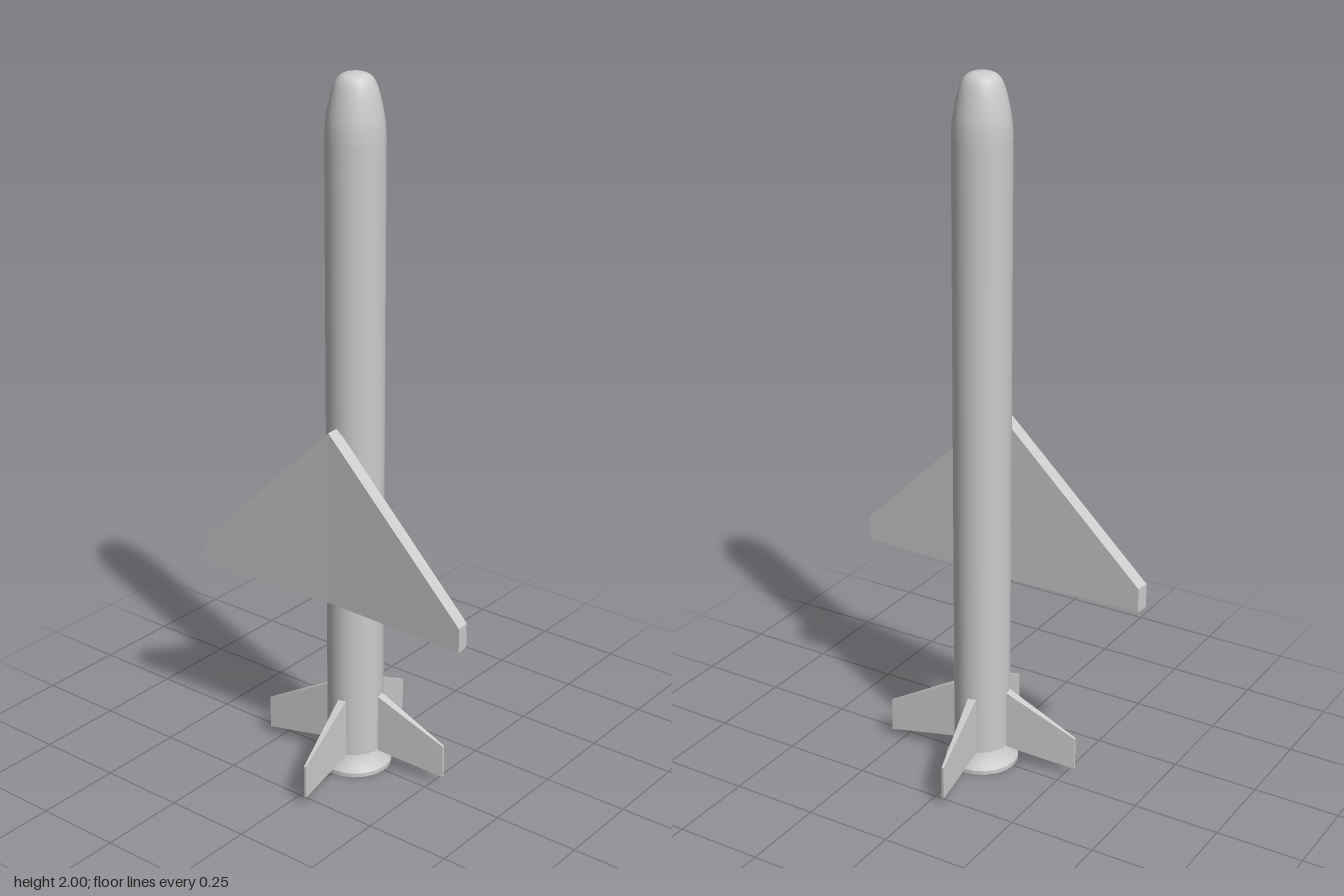
import * as THREE from 'three';

const material = new THREE.MeshStandardMaterial({ color: 0xcccccc });

function addMesh(parent, name, geometry) {
  const mesh = new THREE.Mesh(geometry, material);
  mesh.name = name;
  parent.add(mesh);
  return mesh;
}

// Lathe from [radius, height] pairs, listed bottom to top
function lathe(points, segments) {
  return new THREE.LatheGeometry(points.map(([r, y]) => new THREE.Vector2(r, y)), segments);
}

// Moves every vertex of a 2-unit box by a rule, with flat faces
function shapedBox(xSegments, rule) {
  const geometry = new THREE.BoxGeometry(2, 2, 2, xSegments, 1, 1).toNonIndexed();
  const pos = geometry.attributes.position;
  for (let i = 0; i < pos.count; i++) {
    pos.setXYZ(i, ...rule(pos.getX(i), pos.getY(i), pos.getZ(i)));
  }
  geometry.computeVertexNormals();
  return geometry;
}

export function createModel() {
  const model = new THREE.Group();
  model.name = 'missile';

  // Cylindrical body
  const body = new THREE.CylinderGeometry(0.08, 0.08, 1.81, 48, 1, true);
  addMesh(model, 'body', body).position.y = 0.925;

  // Blunt rounded nose
  const nose = new THREE.SplineCurve([
    [0.08, 1.83], [0.077, 1.875], [0.068, 1.925], [0.056, 1.967],
    [0.043, 1.988], [0.024, 1.998], [0, 2],
  ].map(([r, y]) => new THREE.Vector2(r, y)));
  addMesh(model, 'nose', new THREE.LatheGeometry(nose.getPoints(24), 48));

  // Flared tail with a short rim and a flat base
  addMesh(model, 'tailFlare', lathe([[0.105, 0.012], [0.095, 0.027], [0.086, 0.043], [0.08, 0.06]], 20));
  addMesh(model, 'tailRim', lathe([[0.105, 0], [0.105, 0.012]], 20));
  addMesh(model, 'tailBase', lathe([[0, 0], [0.105, 0]], 20));

  // Delta wing across the front, with a slight sweep towards +z at the tips
  addMesh(model, 'wing', shapedBox(2, (x, y, z) => {
    const span = Math.abs(x);
    return [
      x * (z > 0 ? 0.447 : 0.443),
      y > 0 ? 1.055 - 0.435 * span : 0.55,
      (z > 0 ? 0.117 : 0.077) + 0.012 * span,
    ];
  }));

  // Four slanted tail fins, tapering towards their tips
  const fin = shapedBox(1, (x, y, z) => (z > 0
    ? [x > 0 ? 0.048 : 0.041, y > 0 ? 0.123 : 0.025, 0.281]
    : [x > 0 ? 0.026 : 0, y > 0 ? 0.235 : 0.057, 0.07]));
  const fins = new THREE.Group();
  fins.name = 'tailFins';
  ['frontFin', 'leftFin', 'backFin', 'rightFin'].forEach((name, i) => {
    addMesh(fins, name, fin).rotation.y = (i * Math.PI) / 2;
  });
  model.add(fins);

  return model;
}
